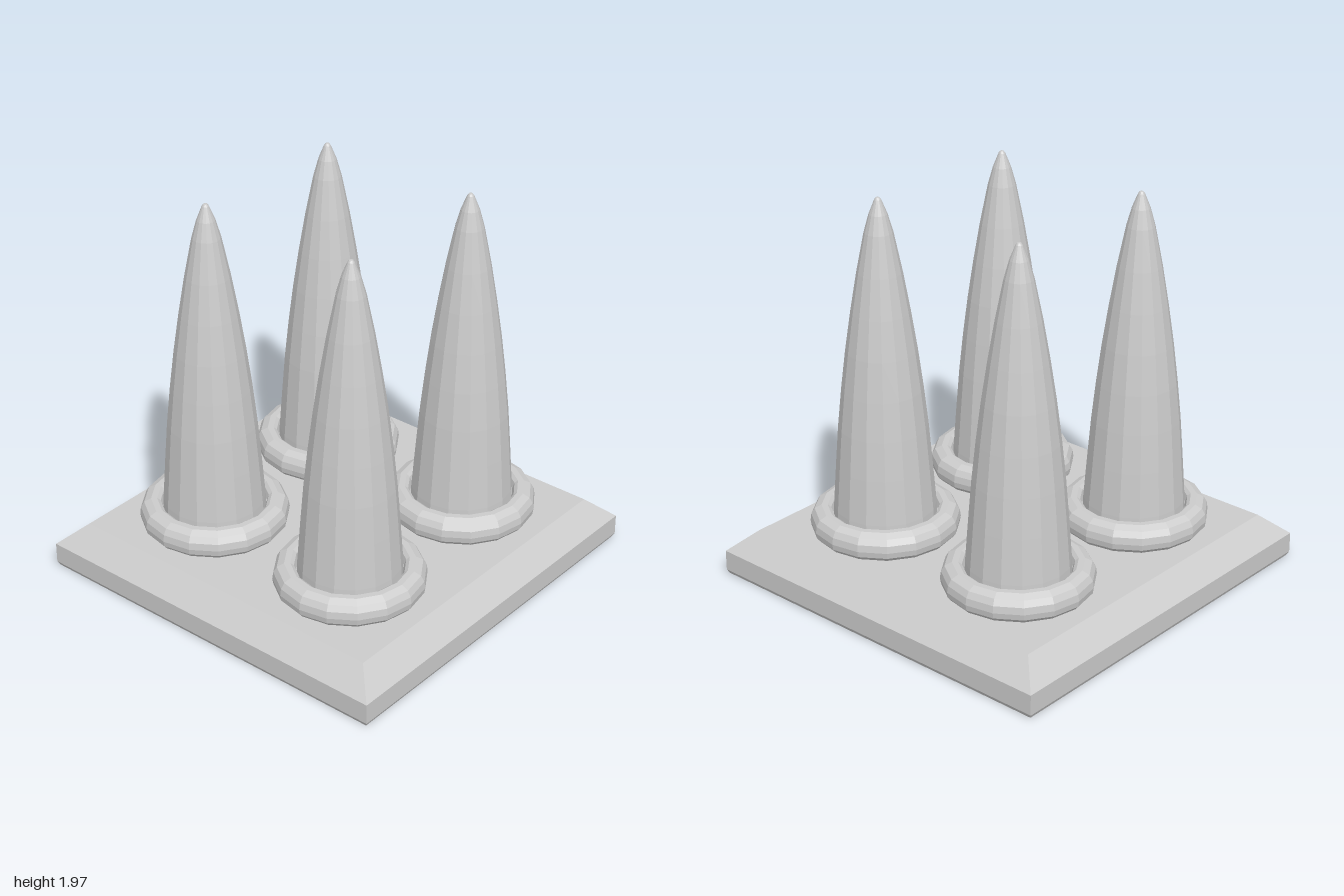
import * as THREE from 'three';

const SIDES = 16;
const material = new THREE.MeshStandardMaterial({ color: 0xcccccc, flatShading: true, side: THREE.DoubleSide });

// Turns [radius, height] pairs into a faceted solid of revolution
function turned(name, profile) {
  const points = profile.map(([r, y]) => new THREE.Vector2(r, y));
  const mesh = new THREE.Mesh(new THREE.LatheGeometry(points, SIDES), material);
  mesh.name = name;
  return mesh;
}

// Square plinth with a bevelled top edge: square rings [half width, height], capped
function createBase() {
  const rings = [[0, 0], [0.99, 0], [1, 0.02], [1, 0.125], [0.88, 0.235], [0, 0.235]];
  const points = rings.map(([h, y]) => new THREE.Vector2(h * Math.SQRT2, y));
  const geometry = new THREE.LatheGeometry(points, 4);
  geometry.rotateY(Math.PI / 4);
  const base = new THREE.Mesh(geometry, material);
  base.name = 'base';
  return base;
}

// Tapered spike standing in a rounded collar
function createSpike() {
  const group = new THREE.Group();
  group.add(turned('spikeBody', [
    [0, 0.235], [0.258, 0.235], [0.253, 0.37], [0.236, 0.6], [0.22, 0.8], [0.199, 1.0],
    [0.174, 1.2], [0.144, 1.4], [0.11, 1.6], [0.07, 1.8], [0.045, 1.89],
    [0.017, 1.96], [0.01, 1.97], [0, 1.972],
  ]));
  group.add(turned('collar', [
    [0.26, 0.235], [0.35, 0.235], [0.367, 0.255], [0.372, 0.285], [0.367, 0.32],
    [0.35, 0.35], [0.315, 0.368], [0.285, 0.368], [0.268, 0.355], [0.258, 0.325],
  ]));
  return group;
}

export function createModel() {
  const model = new THREE.Group();
  model.name = 'spikedBase';
  model.add(createBase());

  // Two by two arrangement of spikes
  for (const x of [-0.436, 0.436]) {
    for (const z of [-0.436, 0.436]) {
      const spike = createSpike();
      spike.name = `${z > 0 ? 'front' : 'back'}${x > 0 ? 'Left' : 'Right'}Spike`;
      spike.position.set(x, 0, z);
      model.add(spike);
    }
  }
  return model;
}
